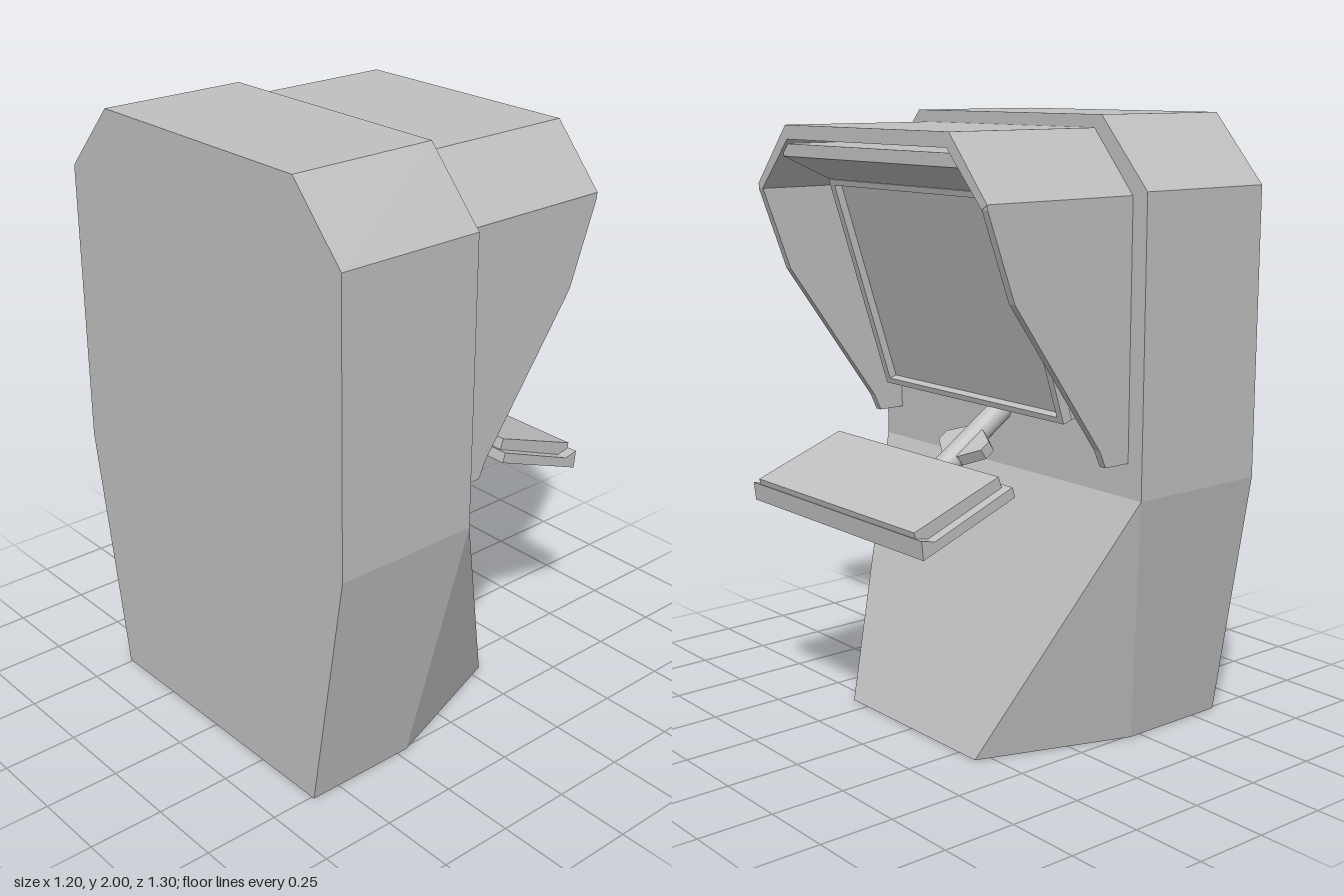
import * as THREE from 'three';
import { ConvexGeometry } from 'three/addons/geometries/ConvexGeometry.js';

const grey = new THREE.MeshStandardMaterial({ color: 0xc0c0c0 });
grey.name = 'plainGrey';

const shapeOf = pts => new THREE.Shape(pts.map(p => new THREE.Vector2(...p)));

// Side profile in x,y, extruded along z and centred on z
function slab(pts, width, z = 0) {
  const g = new THREE.ExtrudeGeometry(shapeOf(pts), { depth: width, bevelEnabled: false });
  return g.translate(0, 0, z - width / 2);
}

// Symmetric profile in z,y, extruded along x from x0 to x1
function span(shape, x0, x1) {
  const g = new THREE.ExtrudeGeometry(shape, { depth: x1 - x0, bevelEnabled: false });
  return g.rotateY(Math.PI / 2).translate(x0, 0, 0);
}

export function createModel() {
  const model = new THREE.Group();
  const add = (name, geometry) => {
    const mesh = new THREE.Mesh(geometry, grey);
    mesh.name = name;
    model.add(mesh);
    return mesh;
  };

  // Cabinet: chamfered upper shell on a tapered base with a sloping front
  add('upperCabinet', span(shapeOf([
    [-0.65, 0.84], [0.65, 0.84], [0.65, 1.78], [0.45, 2], [-0.45, 2], [-0.65, 1.78],
  ]), -0.6, -0.095));
  const corners = [];
  for (const s of [-1, 1]) {
    for (const [x, y, z] of [
      [-0.6, 0.84, 0.65], [-0.21, 0.84, 0.65], [-0.095, 0.84, 0.65],
      [-0.6, 0, 0.51], [-0.21, 0, 0.51], [0.3, 0, 0.33],
    ]) corners.push(new THREE.Vector3(x, y, z * s));
  }
  add('baseCabinet', new ConvexGeometry(corners));

  // Hood: chamfered roof and two thin cheeks
  add('hoodRoof', span(shapeOf([
    [-0.59, 1.765], [-0.565, 1.75], [-0.41, 1.915], [0.41, 1.915], [0.565, 1.75],
    [0.59, 1.765], [0.42, 1.96], [-0.42, 1.96],
  ]), -0.095, 0.467));
  for (const s of [-1, 1]) {
    add(s > 0 ? 'leftHoodCheek' : 'rightHoodCheek', slab([
      [-0.095, 0.95], [0, 0.95], [0.025, 1.005], [0.365, 1.48], [0.465, 1.75],
      [0.465, 1.766], [-0.095, 1.766],
    ], 0.026, s * 0.577));
  }

  // Monitor: forward-leaning block with a raised frame
  add('monitor', slab([
    [-0.095, 1.08], [0.025, 1.08], [0.252, 1.78], [0.28, 1.78], [0.455, 1.86],
    [0.455, 1.9], [-0.095, 1.9],
  ], 0.9));
  const frame = shapeOf([[-0.455, 0], [0.455, 0], [0.455, 0.745], [-0.455, 0.745]]);
  frame.holes.push(new THREE.Path(
    [[-0.43, 0.02], [-0.43, 0.725], [0.43, 0.725], [0.43, 0.02]].map(p => new THREE.Vector2(...p))));
  const frameMesh = add('screenFrame', span(frame, -0.035, 0));
  frameMesh.position.set(0.05, 1.07, 0);
  frameMesh.rotation.z = -0.313;

  // Steering arm with its collar bracket
  const arm = new THREE.Group();
  arm.name = 'controlArm';
  arm.position.set(0, 0.975, 0);
  arm.rotation.z = -0.597;
  const post = new THREE.Mesh(
    new THREE.CylinderGeometry(0.04, 0.04, 0.545, 24).rotateZ(Math.PI / 2), grey);
  post.name = 'armPost';
  post.position.x = 0.163;
  const collarShape = shapeOf([
    [0.02, -0.04], [0.06, -0.11], [0.1, -0.11], [0.15, -0.04],
    [0.15, 0.04], [0.1, 0.11], [0.06, 0.11], [0.02, 0.04],
  ]);
  const collar = new THREE.Mesh(
    new THREE.ExtrudeGeometry(collarShape, { depth: 0.04, bevelEnabled: false })
      .translate(0, 0, -0.02).rotateX(Math.PI / 2), grey);
  collar.name = 'armCollar';
  arm.add(post, collar);
  model.add(arm);

  // Sloping control panel on a wider tray
  add('controlPanel', slab([
    [0.28, 0.935], [0.262, 0.88], [0.585, 0.76], [0.6, 0.818],
  ], 0.84));
  add('panelTray', slab([
    [0.245, 0.872], [0.593, 0.74], [0.6, 0.8], [0.55, 0.79], [0.255, 0.905],
  ], 0.91));

  return model;
}
